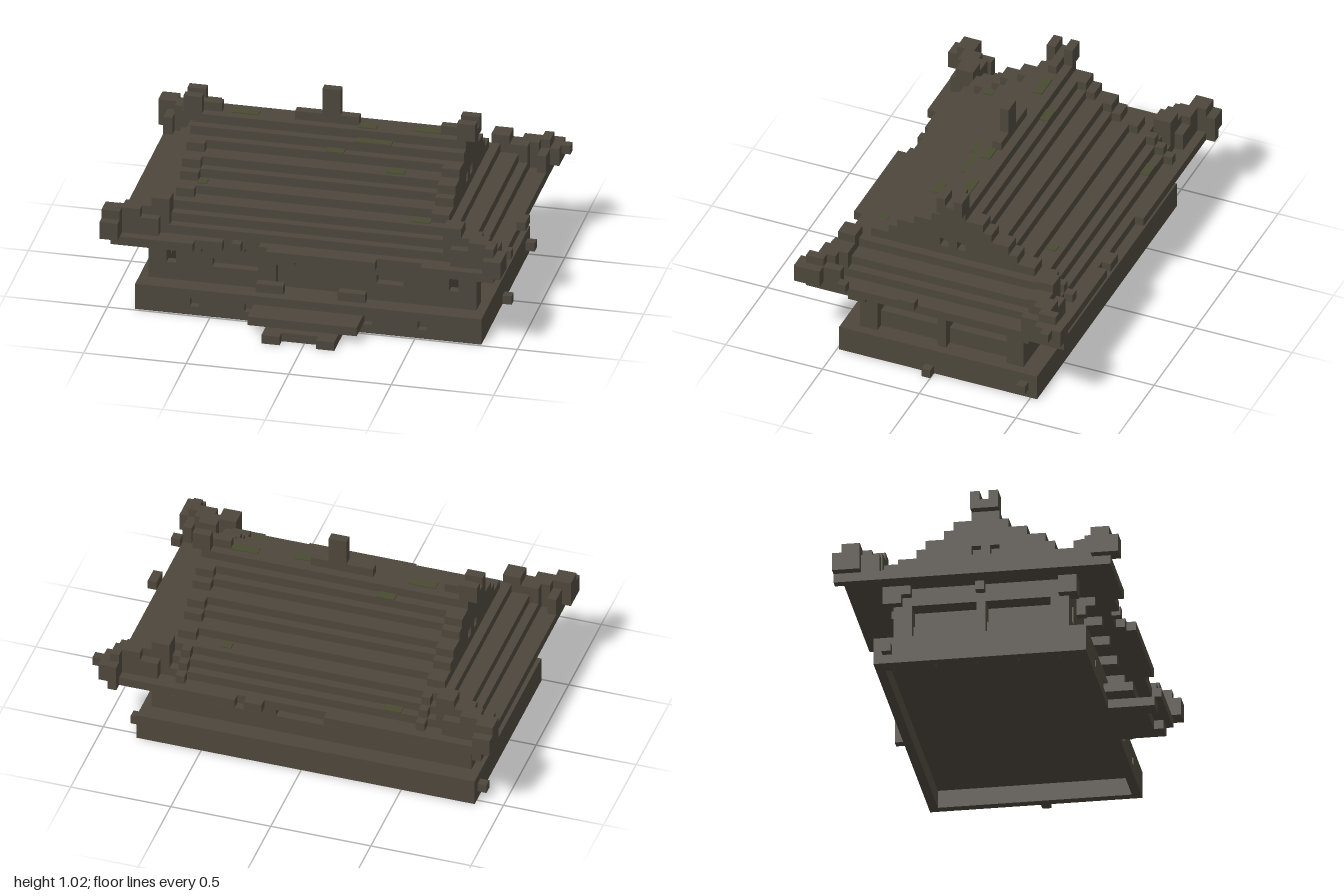
import * as THREE from 'three';
import { mergeGeometries } from 'three/addons/utils/BufferGeometryUtils.js';

const S = 2 / 45; // block size

export function createModel() {
  const model = new THREE.Group();
  const stone = new THREE.MeshStandardMaterial({ color: 0x4c463b });
  stone.name = 'weatheredStone';
  const moss = new THREE.MeshStandardMaterial({ color: 0x484a30 });
  moss.name = 'moss';

  // Box between block coordinates, measured from the building's centre axis
  const block = (x0, x1, y0, y1, z0, z1) =>
    new THREE.BoxGeometry((x1 - x0) * S, (y1 - y0) * S, (z1 - z0) * S)
      .translate(((x0 + x1 - 1) / 2) * S, ((y0 + y1) / 2) * S, ((z0 + z1 - 1) / 2) * S);
  const part = (name, boxes, material = stone) => {
    const mesh = new THREE.Mesh(mergeGeometries(boxes.map((b) => block(...b))), material);
    mesh.name = name;
    model.add(mesh);
  };
  // Mirrored copies of a box
  const flipX = ([a, b, ...r]) => [-b, -a, ...r];
  const flipZ = ([a, b, c, d, e, f]) => [a, b, c, d, -f, -e];
  const bothX = (list) => list.flatMap((b) => [b, flipX(b)]);
  const bothZ = (list) => list.flatMap((b) => [b, flipZ(b)]);
  const four = (list) => bothX(bothZ(list));

  // Wall strip along x, cut by openings [x0, x1, y0, y1] listed left to right
  const wallX = (x0, x1, y0, y1, z0, z1, holes) => {
    const out = [];
    let x = x0;
    for (const [a, b, c, d] of holes) {
      if (a > x) out.push([x, a, y0, y1, z0, z1]);
      if (c > y0) out.push([a, b, y0, c, z0, z1]);
      if (d < y1) out.push([a, b, d, y1, z0, z1]);
      x = b;
    }
    if (x < x1) out.push([x, x1, y0, y1, z0, z1]);
    return out;
  };

  // Hollow plinth with shallow niches along the front
  const vents = [[-13, -12], [-7, -6], [6, 7], [12, 13]];
  part('plinth', [
    [-19, 19, 2, 3, -11.5, 11.5],
    [-19, 19, 0, 2, -11.5, -10.5],
    ...bothX([[18, 19, 0, 2, -10.5, 11.5]]),
    ...wallX(-18, 18, 0, 2, 10.5, 11.5, vents.map(([a, b]) => [a, b, 1, 2])),
    ...vents.map(([a, b]) => [a, b, 1, 2, 10.5, 10.7]),
    ...[-10.5, -6, -1.5, 3, 7.5].map((z) => [-18, -17, 0, 1, z, z + 1]),
  ]);
  part('looseBlocks', [
    [19, 20, 0, 1, 0.5, 1.5], [19, 20, 1, 2, -10.5, -9.5], [-20, -19, 1, 2, -10.5, -9.5],
  ]);
  part('entranceSteps', [
    [-4, 4, 0, 1, 11.5, 15.5], ...bothX([[2, 4, 0, 1, 15.5, 16.5]]),
    [-6, 6, 1, 2, 11.5, 14.5],
    ...bothX([[3, 6, 3, 4, 9.5, 10.5]]),
  ]);

  // Hall: core, pierced front and back, side walls with paired windows
  part('hallCore', [[-15, 15, 3, 9, -8.5, 8.5]]);
  part('frontWall', wallX(-18, 18, 3, 9, 8.5, 9.5, [
    [-16, -15, 5, 7], [-11, -6, 5, 6], [-4, -2, 3, 6], [-2, -1, 3, 7], [-1, 1, 3, 8],
    [1, 2, 3, 7], [2, 4, 3, 6], [7, 10, 5, 6], [15, 16, 5, 7],
  ]));
  part('backWall', wallX(-18, 18, 3, 9, -9.5, -8.5, [
    [-16, -15, 5, 7], [-12, -6, 5, 7], [-4, 4, 5, 7], [6, 12, 5, 7], [15, 16, 5, 7],
  ]));
  part('sideWalls', bothX([
    [16, 18, 7, 9, -8.5, 8.5], [16, 18, 3, 7, -0.5, 0.5],
    ...bothZ([[16, 18, 3, 7, 7.5, 8.5], [16, 17, 3, 5, 0.5, 7.5]]),
  ]));

  // Brackets under the eaves
  const brackets = four([[17, 19, 7, 9, 8.5, 10.5]]);
  for (const x of [-13, -8, -3, 2, 7, 12]) {
    brackets.push([x, x + 1, 8, 9, 9.5, 11.5], [x, x + 1, 8, 9, -10.5, -9.5]);
  }
  for (const x of [-13, 12]) brackets.push([x, x + 1, 7, 8, 9.5, 10.5]);
  brackets.push(...bothX([[18, 19, 8, 9, -0.5, 0.5], [18, 19, 8, 9, -8.5, -7.5]]));
  part('eaveBrackets', brackets);

  // Eave slab with broken front and back edges
  part('eaves', [
    [-21, 21, 9, 10, -13.5, 12.5],
    [-21, -12, 9, 10, 12.5, 14.5], [-5, 21, 9, 10, 12.5, 13.5],
    [-12, -9, 9, 10, 12.5, 13.5], [-8, -7, 9, 10, 12.5, 13.5],
    [-4, 8, 9, 10, 13.5, 14.5], [13, 21, 9, 10, 13.5, 14.5],
    [-21, -3, 9, 10, -14.5, -13.5], [4, 6, 9, 10, -14.5, -13.5], [7, 21, 9, 10, -14.5, -13.5],
    [21, 22, 10, 11, 1.5, 3.5], [21, 22, 10, 11, 9.5, 10.5],
    ...bothX([[20, 21, 9, 10, -15.5, -14.5]]),
  ]);

  // Hipped skirt: [top, half width, half depth]
  part('roofSkirt', [[11, 19, 12.5], [12, 18, 11.5], [13, 16, 10.5]]
    .map(([y, w, d]) => [-w, w, y - 1, y, -d, d]));

  // Stepped gable roof with raised verges and flush gable ends
  const steps = [[14, 8.5], [15, 6.5], [16, 5.5], [17, 3.5], [18, 2.5], [19, 1.5]];
  part('gableRoof', steps.map(([y, d]) => [-13, 13, y - 1, y, -d, d]));
  part('gableEnds', bothX(steps.flatMap(([y, d]) => {
    const back = y < 19 ? d + 1 : d;
    const front = y < 18 ? d + 1 : d;
    // The second layer leaves a pair of small niches
    return y === 15
      ? [[13, 14, 14, 15, -back, front], [14, 15, 14, 15, -0.5, 0.5],
        [14, 15, 14, 15, 1.5, front], [14, 15, 14, 15, -back, -1.5]]
      : [[13, 15, y - 1, y, -back, front]];
  })));
  // Verges run on down the rear skirt
  part('rearVerges', bothX([[13, 14, 10, 11, -13.5, -12.5], [13, 14, 11, 12, -12.5, -11.5],
    [13, 14, 12, 13, -11.5, -10.5]]));

  // Hip ridges climbing from each corner
  part('hipRidges', [
    ...four([
      [20, 21, 10, 13, 12.5, 14.5], [21, 22, 10, 12, 12.5, 14.5], [20, 22, 10, 12, 14.5, 15.5],
      [18, 20, 10, 13, 11.5, 13.5], [17, 19, 10, 13, 10.5, 12.5],
      [15, 17, 11, 14, 10.5, 12.5], [20, 21, 10, 12, 10.5, 12.5], [16, 18, 10, 12, 12.5, 13.5],
    ]),
    [-22, -21, 12, 13, -14.5, -12.5], [-22, -21, 12, 13, 12.5, 14.5],
    [22, 23, 11, 12, -14.5, -13.5],
  ]);

  // Main ridge, end ornaments and finial
  part('ridgeOrnaments', [
    ...four([[14, 16, 19, 21, 0.5, 1.5]]),
    ...bothX([[14, 16, 19, 20, -0.5, 0.5], [12, 14, 19, 20, -0.5, 0.5]]),
    [-4, 3, 19, 20, -0.5, 0.5], [-1, 1, 19, 23, -0.5, 0.5],
  ]);

  // Thin moss patches lying on the roof steps: [x, width, top, z, depth]
  part('mossPatches', [
    [-11, 3, 19, -0.5, 1], [9, 3, 19, -0.5, 1], [3, 2, 19, 0, 1], [3, 4, 18, 1.5, 1],
    [0, 2, 17, 2.5, 1], [-7, 2, 18, -2.5, 1], [7, 2, 16, 4, 1], [-11, 2, 11, -12.5, 1],
    [9, 1, 13, -9.8, 1], [11, 2, 13, 9, 1], [-13, 1, 14, 7, 1],
  ].map(([x, w, y, z, d]) => [x, x + w, y, y + 0.12, z, z + d]), moss);

  return model;
}
